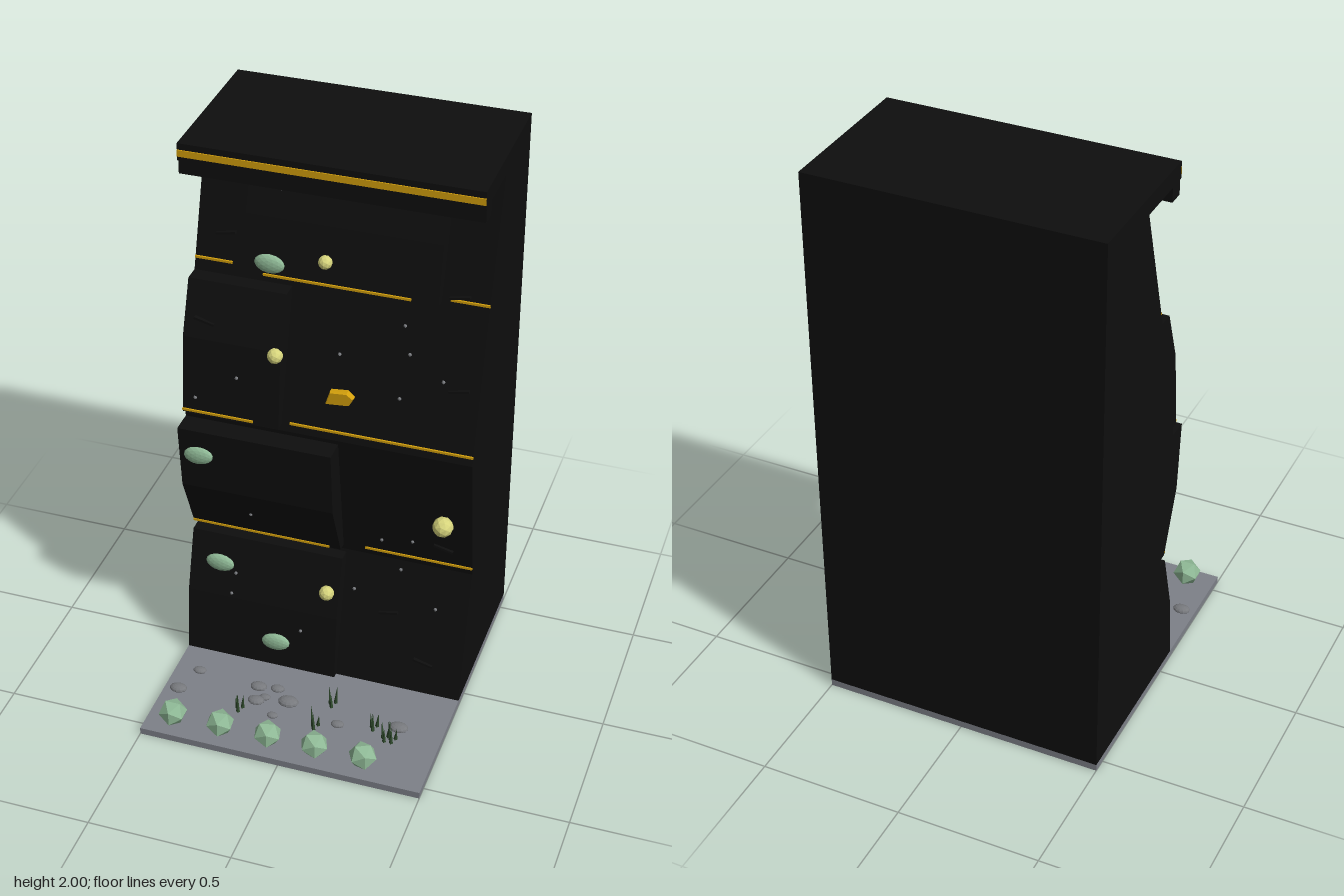
import * as THREE from 'three';

const mat = (name, color, flatShading = true) => {
  const m = new THREE.MeshStandardMaterial({ color, flatShading });
  m.name = name;
  return m;
};

// Front profiles as [y, z], bottom to top
const CORE = [[0.025, 0.07], [0.5, -0.045], [1, 0.025], [1.5, -0.11], [1.95, -0.25]];
const PANELS = [
  { x0: -0.5, x1: 0.05, p: [[0.025, 0.09], [0.27, 0.065], [0.49, 0]] },
  { x0: -0.5, x1: 0.04, p: [[0.52, -0.01], [0.74, 0.08], [0.985, 0.102]] },
  { x0: -0.5, x1: -0.16, p: [[1.02, 0.048], [1.3, 0.018], [1.485, -0.05]] },
  { x0: -0.32, x1: 0.34, p: [[1.52, -0.078], [1.72, -0.12], [1.93, -0.2]] },
];

// Depth of a profile at height y
function depthAt(p, y) {
  for (let i = 1; i < p.length; i++) {
    const [y0, z0] = p[i - 1], [y1, z1] = p[i];
    if (y >= y0 && y <= y1) return z0 + (z1 - z0) * (y - y0) / (y1 - y0);
  }
  return -Infinity;
}

// Depth of the whole wall face
function wallZ(x, y) {
  let z = depthAt(CORE, y);
  for (const q of PANELS) if (x >= q.x0 && x <= q.x1) z = Math.max(z, depthAt(q.p, y));
  return z;
}

// Slab running along x, with a front profile and a flat back
function slab(p, back, x0, x1) {
  const s = new THREE.Shape();
  s.moveTo(back, p[0][0]);
  p.forEach(([y, z]) => s.lineTo(z, y));
  s.lineTo(back, p[p.length - 1][0]);
  s.closePath();
  return new THREE.ExtrudeGeometry(s, { depth: x1 - x0, bevelEnabled: false })
    .rotateY(-Math.PI / 2).translate(x1, 0, 0);
}

export function createModel() {
  const root = new THREE.Group();
  root.name = 'cliffWall';
  const black = mat('wallBlack', 0x0e0e0e);
  const gold = mat('gold', 0xd4a00c);
  const grey = mat('groundGrey', 0x7d8088);
  const stone = mat('stoneGrey', 0x77797d);
  const green = mat('paleGreen', 0x8fb996);
  const yellow = mat('paleYellow', 0xd6d47c);
  const grass = mat('darkGreen', 0x2f4a2c);

  const add = (name, geo, material, x = 0, y = 0, z = 0) => {
    const m = new THREE.Mesh(geo, material);
    m.name = name;
    m.position.set(x, y, z);
    root.add(m);
    return m;
  };
  const box = (name, material, x0, x1, y0, y1, z0, z1) =>
    add(name, new THREE.BoxGeometry(x1 - x0, y1 - y0, z1 - z0), material,
      (x0 + x1) / 2, (y0 + y1) / 2, (z0 + z1) / 2);

  // Ground, wall core and raised panels
  box('ground', grey, -0.5, 0.5, 0, 0.025, -0.55, 0.55);
  add('wallCore', slab(CORE, -0.55, -0.5, 0.5), black);
  PANELS.forEach(q => add('wallPanel', slab(q.p, -0.35, q.x0, q.x1), black));

  // Overhanging cap with lip and stripe
  box('cap', black, -0.5, 0.5, 1.94, 2, -0.55, 0);
  box('capLip', black, -0.5, 0.5, 1.89, 1.94, -0.065, -0.008);
  box('capStripe', gold, -0.5, 0.5, 1.955, 1.978, -0.001, 0.004);

  // Gold seams: height, start, end
  [
    [0.528, -0.5, 0], [0.528, 0.12, 0.5],
    [1.03, -0.5, -0.25], [1.03, -0.13, 0.5],
    [1.528, -0.5, -0.37], [1.528, -0.25, 0.25], [1.528, 0.37, 0.5],
  ].forEach(([y, a, b]) => {
    const z = wallZ((a + b) / 2, y);
    box('goldSeam', gold, a, b, y - 0.004, y + 0.004, z - 0.004, z + 0.005);
  });

  // Gold nugget
  const nugget = new THREE.Shape([[-0.045, -0.025], [0.03, -0.018], [0.045, 0.01], [0.025, 0.025], [-0.03, 0.02]]
    .map(([x, y]) => new THREE.Vector2(x, y)));
  add('goldNugget', new THREE.ExtrudeGeometry(nugget,
    { depth: 0.02, bevelThickness: 0.008, bevelSize: 0.004, bevelSegments: 1 }),
  gold, 0.035, 1.148, wallZ(0.035, 1.148) - 0.012);

  // Moss clumps on the wall
  [[-0.23, 1.568], [-0.43, 0.885], [-0.39, 0.39], [-0.17, 0.125]].forEach(([x, y], i) => {
    const m = add('mossClump', new THREE.IcosahedronGeometry(1, 2), green, x, y, wallZ(x, y) + 0.004);
    m.scale.set(0.052, 0.034, 0.018);
    m.rotation.z = i % 2 ? 0.08 : -0.05;
  });

  // Yellow buds
  [[-0.035, 1.617, 0.024, -0.07], [-0.177, 1.29, 0.027, 0.023], [0.408, 0.73, 0.036, 0.022], [0.01, 0.37, 0.027, 0.055]]
    .forEach(([x, y, r, z]) => add('yellowBud', new THREE.IcosahedronGeometry(r, 1), yellow, x, y, z));

  // Pebbles set in the wall
  [
    [-0.4, 1.81], [-0.21, 1.81], [-0.03, 1.88], [-0.01, 1.835], [0.23, 1.42], [0.255, 1.33],
    [0.375, 1.26], [0.235, 1.18], [0.02, 1.29], [-0.31, 1.18], [-0.455, 1.08], [-0.27, 0.63],
    [0.29, 0.6], [0.18, 0.58], [-0.33, 0.36], [-0.34, 0.285], [0.09, 0.36], [0.25, 0.465],
    [0.385, 0.345], [-0.08, 0.19],
  ].forEach(([x, y]) => add('wallPebble', new THREE.IcosahedronGeometry(0.007, 0), stone, x, y, wallZ(x, y)));

  // Small dark ledges
  [[-0.4, 1.62], [0.17, 1.83], [0.4, 1.54], [-0.43, 1.36], [0.43, 1.24], [0.4, 0.6], [0.22, 0.3], [0.36, 0.14]]
    .forEach(([x, y], i) => {
      const m = add('ledge', new THREE.BoxGeometry(0.07, 0.008, 0.02), black, x, y, wallZ(x, y));
      m.rotation.z = i % 2 ? -0.25 : 0.2;
    });

  // Row of bushes along the front
  [-0.405, -0.232, -0.06, 0.108, 0.28].forEach((x, i) => {
    const m = add('bush', new THREE.IcosahedronGeometry(0.05, 0), green, x, 0.067, 0.48);
    m.rotation.y = i * 0.12;
  });

  // Flat stones: x, z, radius
  [
    [-0.412, 0.207, 0.024], [-0.45, 0.318, 0.031], [-0.185, 0.222, 0.03], [-0.118, 0.213, 0.025],
    [-0.145, 0.268, 0.02], [-0.06, 0.265, 0.037], [-0.17, 0.293, 0.03], [-0.09, 0.348, 0.02],
    [0.138, 0.32, 0.024], [0.343, 0.27, 0.034],
  ].forEach(([x, z, r]) => {
    const m = add('stone', new THREE.SphereGeometry(r, 12, 8), stone, x, 0.028, z);
    m.scale.set(1, 0.45, 0.75);
  });

  // Grass tufts
  [[-0.21, 0.355], [0.09, 0.232], [0.067, 0.358], [0.262, 0.3], [0.315, 0.34], [0.34, 0.34]].forEach(([x, z], t) => {
    for (let k = 0; k < 3; k++) {
      const h = 0.055 + 0.015 * ((t + 2 * k) % 3);
      const m = add('grassBlade', new THREE.ConeGeometry(0.007, h, 4), grass,
        x + (k - 1) * 0.012, 0.025 + h / 2, z + ((k % 2) - 0.5) * 0.02);
      m.rotation.set((k - 1) * 0.15, 0, (1 - k) * 0.12);
    }
  });

  return root;
}
